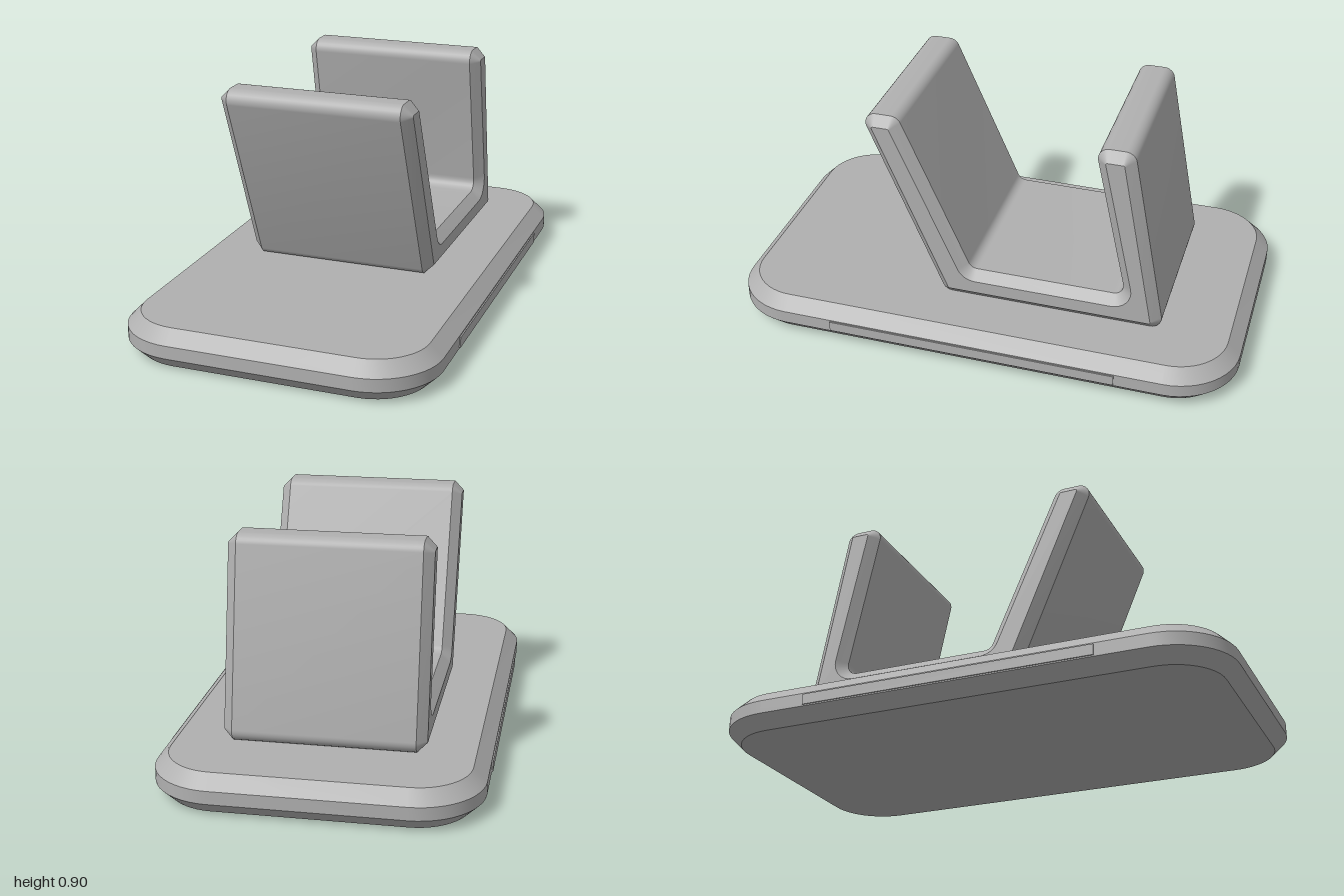
import * as THREE from 'three';
import { toCreasedNormals } from 'three/addons/utils/BufferGeometryUtils.js';

// Closed outline from [x, y, cornerRadius] points, each corner rounded by an arc
function roundedOutline(corners, segments) {
  const points = [];
  corners.forEach(([x, y, radius], i) => {
    const p = new THREE.Vector2(x, y);
    const [px, py] = corners[(i + corners.length - 1) % corners.length];
    const [nx, ny] = corners[(i + 1) % corners.length];
    const a = new THREE.Vector2(px, py).sub(p).normalize();
    const b = new THREE.Vector2(nx, ny).sub(p).normalize();
    const half = Math.acos(a.dot(b)) / 2;
    const centre = a.clone().add(b).normalize().multiplyScalar(radius / Math.sin(half)).add(p);
    const start = a.clone().multiplyScalar(radius / Math.tan(half)).add(p).sub(centre);
    const turn = (Math.PI - 2 * half) * Math.sign(b.cross(a));
    for (let k = 0; k <= segments; k++) {
      points.push(start.clone().rotateAround(new THREE.Vector2(), turn * k / segments).add(centre));
    }
  });
  return new THREE.Shape(points);
}

// Solid with a single flat chamfer round both ends, smooth round its corners
function chamferedSolid(shape, depth, chamfer) {
  const geometry = new THREE.ExtrudeGeometry(shape, {
    depth, bevelEnabled: true, bevelSegments: 1, bevelSize: chamfer, bevelThickness: chamfer,
  });
  geometry.translate(0, 0, -depth / 2);
  // Enlarged while creasing so that the small corner arcs stay distinct
  geometry.scale(100, 100, 100);
  return toCreasedNormals(geometry, 0.6).scale(0.01, 0.01, 0.01);
}

export function createModel() {
  const model = new THREE.Group();
  model.name = 'chargingStand';
  const grey = new THREE.MeshStandardMaterial({ color: 0xb0b0b0 });
  grey.name = 'grey';

  function add(name, geometry) {
    const mesh = new THREE.Mesh(geometry, grey);
    mesh.name = name;
    model.add(mesh);
    return mesh;
  }

  // Base slab with rounded corners
  const baseOutline = roundedOutline(
    [[-0.55, -0.95, 0.2], [0.55, -0.95, 0.2], [0.55, 0.95, 0.2], [-0.55, 0.95, 0.2]], 12);
  const base = add('base', chamferedSolid(baseOutline, 0.05, 0.05));
  base.rotation.x = -Math.PI / 2;
  base.position.y = 0.075;

  // Cradle: one bent section with a leaning front arm and a steeper rear arm
  const tight = 0.006, inside = 0.075;
  const cradleOutline = roundedOutline([
    [-0.147, 0.187, tight], [0.655, 0.187, tight],
    [0.527, 0.863, tight], [0.457, 0.863, tight],
    [0.593, 0.238, inside], [-0.089, 0.238, inside],
    [-0.366, 0.863, tight], [-0.436, 0.863, tight],
  ], 8);
  const cradle = add('cradle', chamferedSolid(cradleOutline, 0.676, 0.037));
  cradle.rotation.y = Math.PI / 2;

  // Thin strips along the sides of the base
  for (const side of [-1, 1]) {
    const strip = add(side > 0 ? 'leftStrip' : 'rightStrip', new THREE.BoxGeometry(0.01, 0.04, 1.13));
    strip.position.set(side * 0.6, 0.075, -0.005);
  }

  return model;
}
